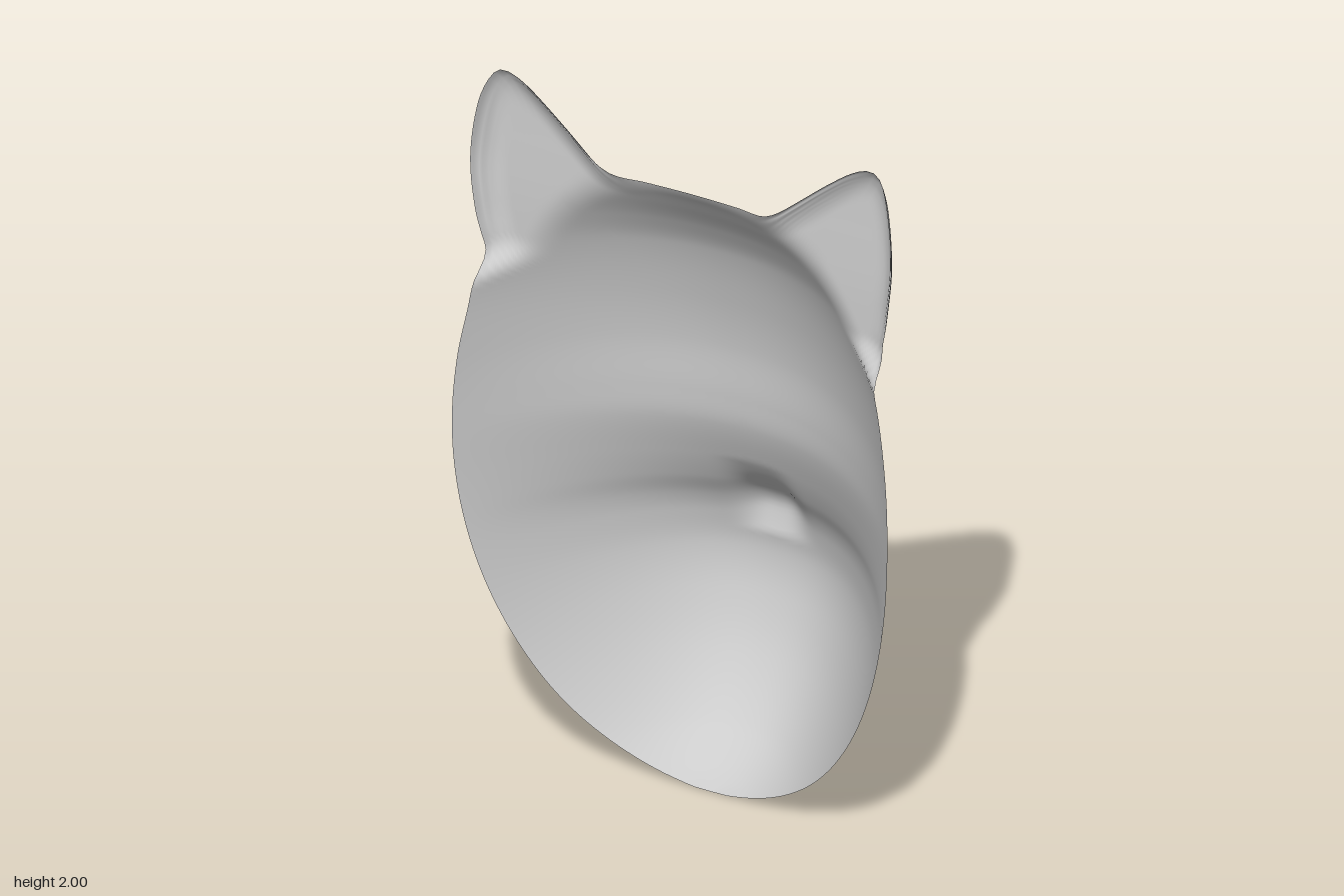
import * as THREE from 'three';

// Smooth curve through [position, value] pairs, clamped at both ends
function profile(pts) {
  const n = pts.length;
  const slope = (i) => {
    const a = pts[Math.max(i - 1, 0)], b = pts[Math.min(i + 1, n - 1)];
    return (b[1] - a[1]) / (b[0] - a[0]);
  };
  return (p) => {
    if (p <= pts[0][0]) return pts[0][1];
    if (p >= pts[n - 1][0]) return pts[n - 1][1];
    let i = 0;
    while (p > pts[i + 1][0]) i++;
    const h = pts[i + 1][0] - pts[i][0], t = (p - pts[i][0]) / h;
    const t2 = t * t, t3 = t2 * t;
    return (2 * t3 - 3 * t2 + 1) * pts[i][1] + (t3 - 2 * t2 + t) * h * slope(i)
      + (3 * t2 - 2 * t3) * pts[i + 1][1] + (t3 - t2) * h * slope(i + 1);
  };
}

const step = THREE.MathUtils.smoothstep;

// Depth of the face along its middle: chin, muzzle, brow, crown
const middle = profile([[0, 0.07], [0.035, 0], [0.11, -0.1], [0.25, -0.2], [0.4, -0.26], [0.52, -0.278],
  [0.62, -0.26], [0.68, -0.235], [0.75, -0.19], [0.84, -0.145], [0.96, -0.1], [1.05, -0.088], [1.2, -0.08],
  [1.35, -0.052], [1.52, 0], [1.61, 0.05], [1.68, 0.1], [1.775, 0.175], [2, 0.4]]);
// Depth of the outer edge
const edge = profile([[0, 0.07], [0.2, 0.155], [0.4, 0.21], [0.6, 0.25], [0.8, 0.275], [1, 0.285],
  [1.2, 0.275], [1.4, 0.25], [1.6, 0.235], [2, 0.22]]);
const nose = profile([[0.57, 0], [0.62, 0.025], [0.66, 0.042], [0.71, 0.04], [0.78, 0.015], [0.84, 0]]);

function smoothMin(a, b, k) {
  const h = Math.max(k - Math.abs(a - b), 0) / k;
  return Math.min(a, b) - h * h * k / 4;
}

// Depth of the shell at a point; rimDistance is the distance to the outline
function depth(x, y, rimDistance) {
  const ax = Math.abs(x);
  const v = (y - 1) / (y > 1 ? 0.92 : 1);
  const halfWidth = 0.622 * Math.sqrt(Math.max(1 - v * v, 0.0004));
  const t = Math.min(ax / halfWidth, 1.6);
  const m = middle(y);
  const head = m + Math.max(edge(y) - m, 0.02) * t ** 2.2 - nose(y) * Math.exp(-((ax / 0.085) ** 3));

  // Flat ears whose rims curl towards the wearer
  const plate = 0.188 - 0.016 * step(ax, 0.1, 0.35) - 0.012 * step(y, 1.6, 2)
    + 0.25 * (1 - step(y, 1.3, 1.5));
  const curl = Math.max(1 - rimDistance / 0.075, 0) ** 2;
  const amount = 0.035 * step(ax, 0.12, 0.3) + 0.025 * step(ax, 0.54, 0.6);
  return smoothMin(head, plate, 0.035) + curl * amount * step(y, 1.4, 1.52);
}

// Outline from the top middle, round the left ear, to the chin, then mirrored
function outline() {
  const half = [[0, 1.775], [0.12, 1.775], [0.2, 1.78], [0.25, 1.802], [0.31, 1.85], [0.4, 1.927], [0.47, 1.98],
    [0.52, 2], [0.555, 1.98], [0.585, 1.9], [0.601, 1.75], [0.587, 1.6], [0.565, 1.47], [0.582, 1.36]];
  for (let a = 12; a >= -90; a -= 8.5) {
    const r = THREE.MathUtils.degToRad(a);
    half.push([0.622 * Math.cos(r), 1 + Math.sin(r)]);
  }
  const pts = new THREE.SplineCurve(half.map((p) => new THREE.Vector2(...p))).getSpacedPoints(130);
  const mirrored = pts.slice(1, -1).reverse().map((p) => new THREE.Vector2(-p.x, p.y));
  return [...pts, ...mirrored];
}

// Rings growing from the middle of the face out to the outline
function shellGeometry() {
  const rim = outline(), n = rim.length, rings = 80;
  const position = [0, 1, depth(0, 1, 1)], index = [];
  for (let j = 1; j <= rings; j++) {
    const s = 1 - (1 - j / rings) ** 1.15;
    for (const p of rim) {
      const x = p.x * s, y = 1 + (p.y - 1) * s;
      let d = 1;
      if (y > 1.35) for (const q of rim) d = Math.min(d, Math.hypot(q.x - x, q.y - y));
      position.push(x, y, depth(x, y, d));
    }
  }
  const at = (j, i) => (j === 0 ? 0 : 1 + (j - 1) * n + (i % n));
  for (let j = 0; j < rings; j++) {
    for (let i = 0; i < n; i++) {
      index.push(at(j, i), at(j + 1, i), at(j + 1, i + 1));
      if (j > 0) index.push(at(j, i), at(j + 1, i + 1), at(j, i + 1));
    }
  }
  const geometry = new THREE.BufferGeometry();
  geometry.setAttribute('position', new THREE.Float32BufferAttribute(position, 3));
  geometry.setIndex(index);
  geometry.computeVertexNormals();
  return geometry;
}

export function createModel() {
  const group = new THREE.Group();
  group.name = 'animalMask';
  const material = new THREE.MeshStandardMaterial({ color: 0xcccccc, side: THREE.DoubleSide });
  const shell = new THREE.Mesh(shellGeometry(), material);
  shell.name = 'maskShell';
  group.add(shell);
  return group;
}
